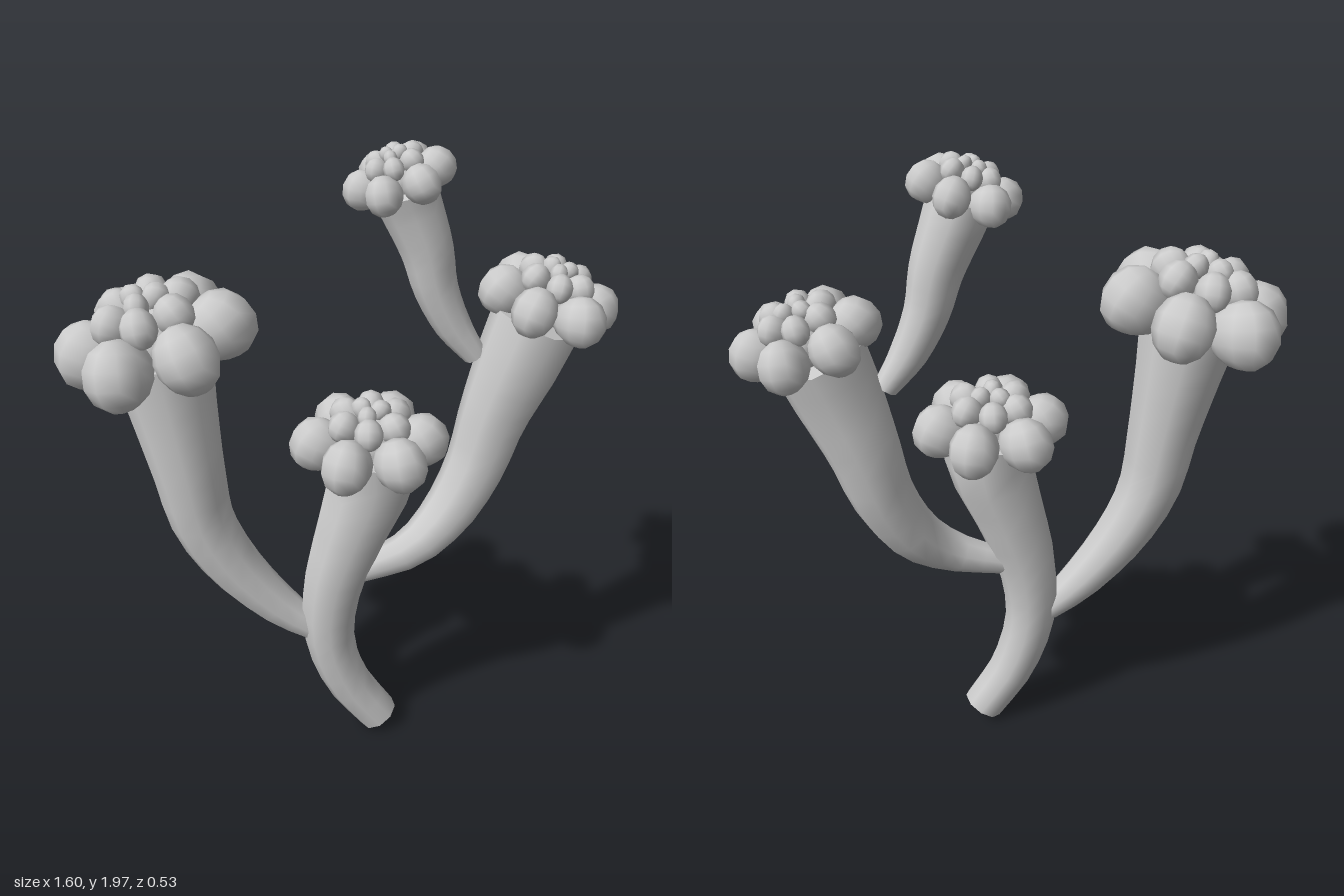
import * as THREE from 'three';
import { mergeVertices } from 'three/addons/utils/BufferGeometryUtils.js';

const material = new THREE.MeshStandardMaterial({ color: 0xcccccc });
const SIDES = 9;

// Tapered stalk through points [x, y, z, radius], closed at both ends
function makeStalk(name, points) {
  const group = new THREE.Group();
  group.name = name;
  const curve = new THREE.CatmullRomCurve3(points.map(([x, y, z]) => new THREE.Vector3(x, y, z)));
  const radiusAt = (u) => {
    const t = curve.getUtoTmapping(u) * (points.length - 1);
    const i = Math.min(Math.floor(t), points.length - 2);
    return THREE.MathUtils.lerp(points[i][3], points[i + 1][3], t - i);
  };
  const segments = 14;
  const tube = new THREE.TubeGeometry(curve, segments, 1, SIDES);
  const pos = tube.attributes.position;
  const n = new THREE.Vector3();
  for (let i = 0; i < pos.count; i++) {
    const u = Math.floor(i / (SIDES + 1)) / segments;
    n.fromBufferAttribute(tube.attributes.normal, i).multiplyScalar(radiusAt(u)).add(curve.getPointAt(u));
    pos.setXYZ(i, n.x, n.y, n.z);
  }
  const stem = new THREE.Mesh(tube, material);
  stem.name = 'stem';
  group.add(stem);

  // End caps share the rim of the tube
  for (const end of [0, 1]) {
    const c = curve.getPointAt(end);
    const rim = end * segments * (SIDES + 1);
    const verts = [];
    for (let j = 0; j < SIDES; j++) {
      const a = rim + j + (end ? 1 : 0);
      const b = rim + j + (end ? 0 : 1);
      verts.push(c.x, c.y, c.z);
      for (const k of [a, b]) verts.push(pos.getX(k), pos.getY(k), pos.getZ(k));
    }
    const cap = new THREE.BufferGeometry();
    cap.setAttribute('position', new THREE.Float32BufferAttribute(verts, 3));
    cap.computeVertexNormals();
    const mesh = new THREE.Mesh(cap, material.clone());
    mesh.material.side = THREE.DoubleSide;
    mesh.name = 'endCap';
    group.add(mesh);
  }
  return group;
}

// Egg-shaped lobe, fat at its outer (+x) end
function makeLobeGeometry() {
  let g = new THREE.SphereGeometry(1, 10, 7);
  g.deleteAttribute('uv');
  g.deleteAttribute('normal');
  g = mergeVertices(g);
  const p = g.attributes.position;
  for (let i = 0; i < p.count; i++) {
    const k = 0.93 + 0.22 * p.getX(i);
    p.setXYZ(i, p.getX(i), p.getY(i) * k, p.getZ(i) * k);
  }
  g.computeVertexNormals();
  return g;
}

// Rings of lobes: count, start angle, distance out, height, size, upward tilt
const RINGS = [
  { name: 'outerLobe', count: 6, start: 0, out: 0.62, up: 0, size: 1, tilt: 0.35 },
  { name: 'innerLobe', count: 6, start: 0.4, out: 0.34, up: 0.33, size: 0.58, tilt: 0.5 },
  { name: 'centreLobe', count: 3, start: 0.2, out: 0.13, up: 0.46, size: 0.38, tilt: 0.8 },
];

function makeHead(name, lobe, [x, y, z], scale, lean) {
  const head = new THREE.Group();
  head.name = name;
  for (const r of RINGS) {
    for (let i = 0; i < r.count; i++) {
      const arm = new THREE.Group();
      arm.rotation.y = r.start + (i / r.count) * Math.PI * 2;
      const mesh = new THREE.Mesh(lobe, material);
      mesh.name = r.name;
      mesh.position.set(r.out, r.up, 0);
      mesh.rotation.z = r.tilt;
      mesh.scale.set(0.43, 0.38, 0.34).multiplyScalar(r.size);
      arm.add(mesh);
      head.add(arm);
    }
  }
  // Solid middle under the lobes
  const core = new THREE.Mesh(lobe, material);
  core.name = 'core';
  core.scale.set(0.4, 0.42, 0.4);
  head.add(core);
  head.position.set(x, y, z);
  head.scale.setScalar(scale);
  head.rotation.z = lean;
  return head;
}

export function createModel() {
  const model = new THREE.Group();
  model.name = 'branchingCoral';
  const lobe = makeLobeGeometry();

  model.add(
    makeStalk('trunk', [
      [0.117, 0.045, 0.03, 0.067], [0.015, 0.2, 0.03, 0.073], [-0.045, 0.4, 0.03, 0.08],
      [-0.035, 0.6, 0.03, 0.093], [0.02, 0.8, 0.03, 0.11], [0.08, 1.0, 0.03, 0.135], [0.08, 1.1, 0.03, 0.14],
    ]),
    makeStalk('rightBranch', [
      [-0.095, 0.425, 0.02, 0.045], [-0.2, 0.515, 0.02, 0.065], [-0.335, 0.68, 0.02, 0.085],
      [-0.42, 0.85, 0.02, 0.097], [-0.455, 1.05, 0.02, 0.108], [-0.485, 1.25, 0.01, 0.128], [-0.51, 1.42, 0, 0.15],
    ]),
    makeStalk('leftBranch', [
      [0.05, 0.64, 0.015, 0.042], [0.22, 0.715, 0.005, 0.065], [0.33, 0.82, -0.03, 0.082],
      [0.41, 0.97, -0.055, 0.094], [0.46, 1.15, -0.065, 0.107], [0.52, 1.33, -0.06, 0.128], [0.565, 1.46, -0.06, 0.135],
    ]),
    makeStalk('topBranch', [
      [0.39, 1.34, -0.07, 0.035], [0.32, 1.44, -0.07, 0.053], [0.265, 1.56, -0.07, 0.064],
      [0.235, 1.68, -0.07, 0.075], [0.185, 1.81, -0.07, 0.088], [0.165, 1.86, -0.065, 0.09],
    ]),
    makeHead('trunkHead', lobe, [0.075, 1.115, 0.035], 0.225, 0),
    makeHead('rightHead', lobe, [-0.52, 1.45, 0], 0.277, 0.22),
    makeHead('leftHead', lobe, [0.592, 1.505, -0.07], 0.2, -0.25),
    makeHead('topHead', lobe, [0.155, 1.878, -0.06], 0.15, 0.3),
  );
  return model;
}
